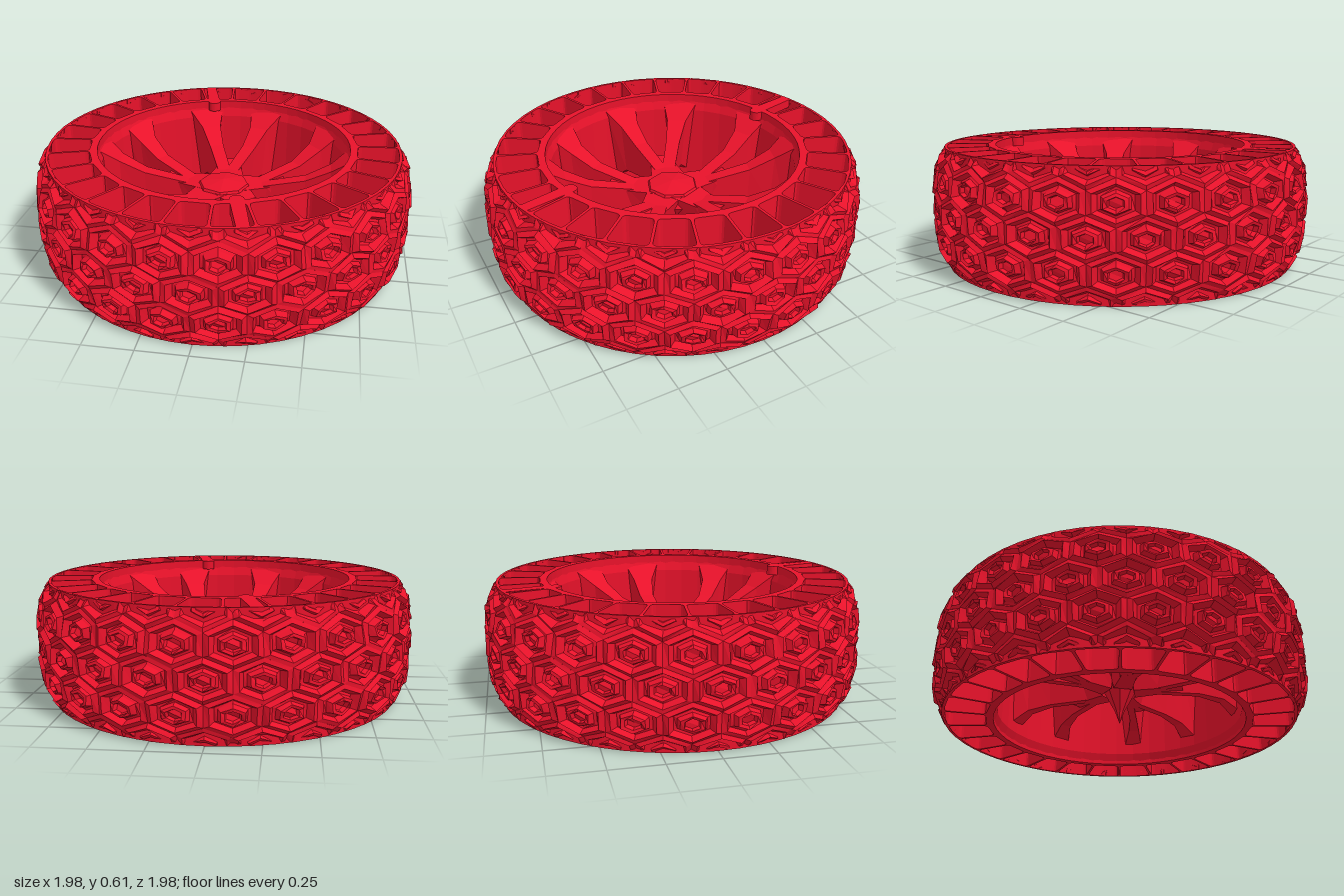
import * as THREE from 'three';

const Y0 = 0.02, Y1 = 0.63, MID = 0.325;
const CELLS = 24, WALLS = 28;
const rad = THREE.MathUtils.degToRad;
const material = new THREE.MeshStandardMaterial({ color: 0xe8122a, flatShading: true, side: THREE.DoubleSide });

function mesh(name, geometry) {
  const m = new THREE.Mesh(geometry, material);
  m.name = name;
  return m;
}

function fromTriangles(triangles) {
  const g = new THREE.BufferGeometry().setFromPoints(triangles);
  g.computeVertexNormals();
  return g;
}

// Joins successive closed rings of points with quads
function loft(rings, out = []) {
  for (let k = 0; k + 1 < rings.length; k++) {
    const a = rings[k], b = rings[k + 1], n = a.length;
    for (let i = 0; i < n; i++) {
      const j = (i + 1) % n;
      out.push(a[i], a[j], b[j], a[i], b[j], b[i]);
    }
  }
  return out;
}

// Crowned tread surface, slightly uneven so that its facets vary
function treadPoint(theta, y, depth) {
  const yc = THREE.MathUtils.clamp(y, Y0, Y1);
  const crown = 0.985 - 0.07 * Math.abs((yc - MID) / 0.305) ** 4;
  const uneven = 0.007 * Math.sin(37 * theta + 91 * yc);
  const r = Math.max(0.905, crown - depth + uneven);
  return new THREE.Vector3(r * Math.sin(theta), yc, r * Math.cos(theta));
}

// Honeycomb tread: broad ridge, groove and a hollow boss in every cell
function treadGeometry() {
  const steps = [[1, 0.012], [0.8, 0], [0.64, 0.036], [0.52, 0.034], [0.42, 0.004], [0.28, 0.006], [0.23, 0.028], [0, 0.028]];
  const triangles = [];
  for (let row = -2; row <= 2; row++) {
    for (let c = 0; c < CELLS; c++) {
      const theta = (c + (row % 2 ? 0.5 : 0)) * 2 * Math.PI / CELLS;
      const y = MID + row * 0.155;
      const rings = steps.map(([s, depth]) => Array.from({ length: 6 }, (_, i) => {
        const a = rad(30 + 60 * i);
        const across = Math.PI / CELLS / Math.cos(Math.PI / 6);
        return treadPoint(theta + across * Math.cos(a) * s, y + 0.1033 * Math.sin(a) * s, depth);
      }));
      loft(rings, triangles);
    }
  }
  return fromTriangles(triangles);
}

// Rounded polygon used for the openings between the thin walls
function roundedHole(corners, radius) {
  const path = new THREE.Path();
  corners.forEach((p, i) => {
    const prev = corners[(i + corners.length - 1) % corners.length];
    const next = corners[(i + 1) % corners.length];
    const a = p.clone().add(prev.clone().sub(p).setLength(radius));
    const b = p.clone().add(next.clone().sub(p).setLength(radius));
    if (i) path.lineTo(a.x, a.y); else path.moveTo(a.x, a.y);
    path.quadraticCurveTo(p.x, p.y, b.x, b.y);
  });
  path.closePath();
  return path;
}

const polar = (r, a) => new THREE.Vector2(r * Math.sin(a), r * Math.cos(a));

// Rim, thin radial walls and outer band in one extrusion
function webGeometry() {
  const circle = (r, n) => Array.from({ length: n }, (_, i) => polar(r, i * 2 * Math.PI / n));
  const shape = new THREE.Shape(circle(0.92, 56));
  shape.holes.push(new THREE.Path(circle(0.66, 56)));
  const pitch = 2 * Math.PI / WALLS;
  for (let i = 0; i < WALLS; i++) {
    const a = rad(8) + i * pitch, b = a + pitch;
    const inner = 0.007 / 0.7, outer = 0.007 / 0.9;
    shape.holes.push(roundedHole([
      polar(0.7, a + inner), polar(0.905, a + outer),
      polar(0.91, (a + b) / 2),
      polar(0.905, b - outer), polar(0.7, b - inner)
    ], 0.022));
  }
  const g = new THREE.ExtrudeGeometry(shape, { depth: Y1 - Y0, bevelEnabled: false, curveSegments: 3 });
  return g.rotateX(-Math.PI / 2).translate(0, Y0, 0);
}

// Tapered blade through stations of [radius, angle, bottom width, bottom, top, top width]
function bladeGeometry(stations) {
  const centres = stations.map(([r, a]) => new THREE.Vector3(r * Math.sin(a), 0, -r * Math.cos(a)));
  const along = centres[centres.length - 1].clone().sub(centres[0]).normalize();
  const side = new THREE.Vector3(0, 1, 0).cross(along);
  const rings = stations.map(([, , low, lo, hi, high], i) =>
    [[-low, lo], [low, lo], [high, hi], [-high, hi]].map(([w, y]) =>
      centres[i].clone().addScaledVector(side, w / 2).setY(y)));
  return fromTriangles(loft(rings));
}

export function createModel() {
  const wheel = new THREE.Group();
  wheel.name = 'airlessWheel';
  wheel.add(mesh('tread', treadGeometry()), mesh('rimAndWalls', webGeometry()));

  // Inner rim lip
  const lip = [[0.665, 0.03], [0.645, 0.08], [0.645, 0.54], [0.665, 0.6]].map(p => new THREE.Vector2(...p));
  wheel.add(mesh('rimLip', new THREE.LatheGeometry(lip, 40)));

  // Hub with a pointed underside
  const hub = [[0, 0.03], [0.025, 0.1], [0.09, 0.22], [0.17, 0.33], [0.13, 0.4], [0, 0.42]]
    .map(p => new THREE.Vector2(...p));
  wheel.add(mesh('hub', new THREE.LatheGeometry(hub, 8)));

  // Five forked spokes, each a trunk with two arms that flare at the rim
  for (let i = 0; i < 5; i++) {
    const a = rad(-2 + 72 * i);
    const spoke = new THREE.Group();
    spoke.name = 'spoke';
    spoke.add(mesh('spokeTrunk', bladeGeometry([
      [0.08, a, 0.1, 0.2, 0.39, 0.2],
      [0.22, a, 0.08, 0.21, 0.38, 0.15],
      [0.34, a, 0.1, 0.23, 0.39, 0.12]])));
    for (const s of [-1, 1]) {
      spoke.add(mesh('spokeArm', bladeGeometry([
        [0.2, a + s * rad(6), 0.04, 0.21, 0.38, 0.07],
        [0.44, a + s * rad(12.5), 0.04, 0.22, 0.43, 0.08],
        [0.57, a + s * rad(14.5), 0.06, 0.2, 0.5, 0.11],
        [0.66, a + s * rad(16), 0.1, 0.13, 0.58, 0.2]])));
    }
    wheel.add(spoke);
  }

  // Two wider stiffening strips with rounded inner ends
  for (const deg of [-14, 166]) {
    const strip = new THREE.Shape();
    strip.moveTo(-0.03, 0.91);
    strip.lineTo(-0.035, 0.65);
    strip.absarc(0, 0.65, 0.035, Math.PI, 2 * Math.PI, false);
    strip.lineTo(0.03, 0.91);
    const g = new THREE.ExtrudeGeometry(strip, { depth: 0.05, bevelEnabled: false, curveSegments: 6 });
    g.rotateX(-Math.PI / 2).translate(0, Y1 - 0.05, 0).rotateY(-rad(deg));
    wheel.add(mesh('stiffeningStrip', g));
  }
  return wheel;
}
